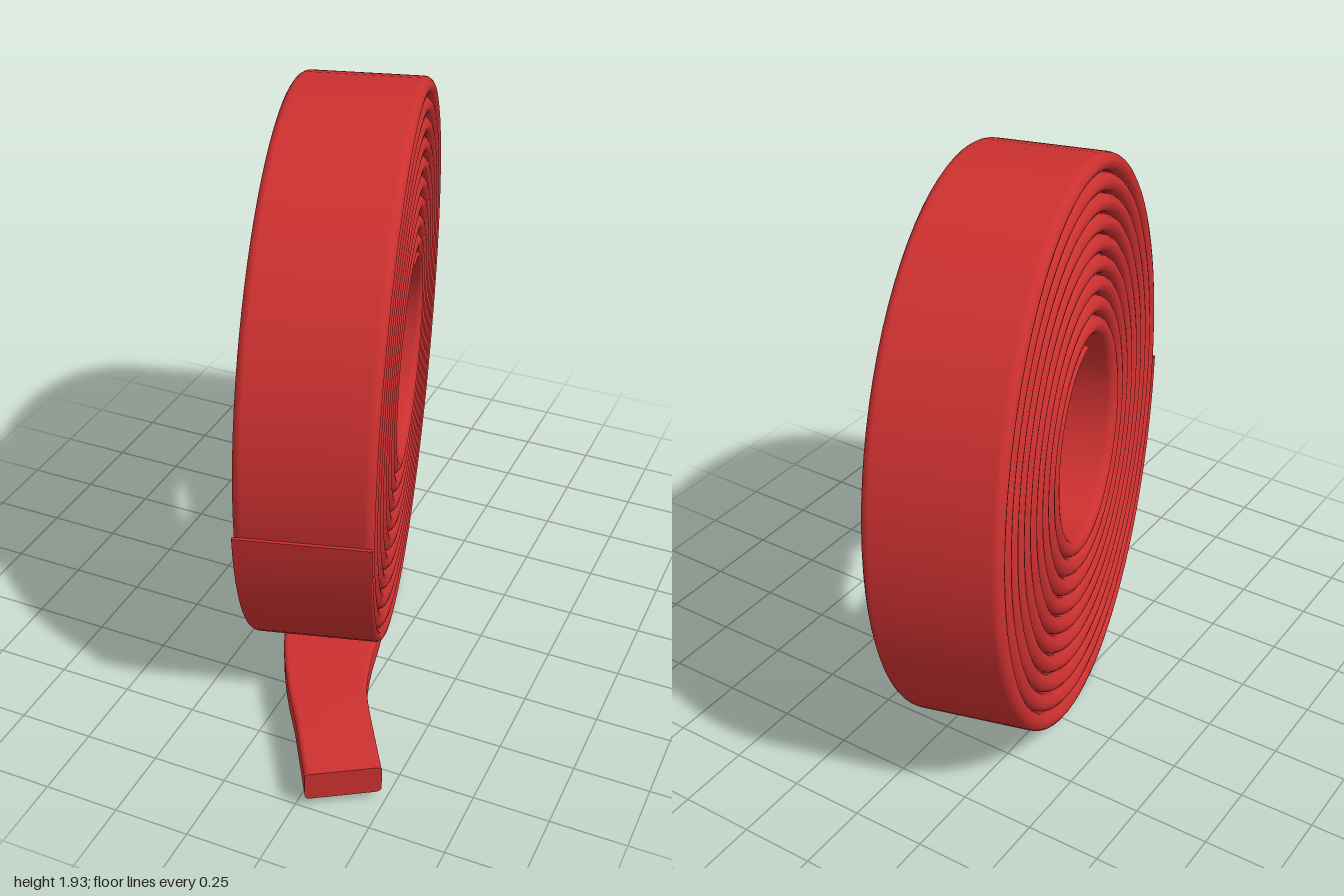
import * as THREE from 'three';
import { mergeVertices } from 'three/addons/utils/BufferGeometryUtils.js';

const V = (x, y, z) => new THREE.Vector3(x, y, z);
const { lerp, smoothstep } = THREE.MathUtils;

// Rounded strap section of width w, thickness t and corner radius r
function section(w, t, r) {
  const pts = [];
  const corners = [[1, 1], [-1, 1], [-1, -1], [1, -1]];
  corners.forEach(([sx, sy], q) => {
    for (let i = 0; i <= 4; i++) {
      const a = (q + i / 4) * Math.PI / 2;
      pts.push([sx * (w / 2 - r) + r * Math.cos(a), sy * (t / 2 - r) + r * Math.sin(a)]);
    }
  });
  return pts;
}

// Sweep the section along frames { p, side, w, t, r }, with flat end caps
function sweep(frames) {
  const pos = [], idx = [];
  let n = 0;
  const last = frames.length - 1;
  const ring = (i) => {
    const { p, side, w, t, r } = frames[i];
    const tan = frames[Math.min(i + 1, last)].p.clone().sub(frames[Math.max(i - 1, 0)].p).normalize();
    const up = tan.clone().cross(side).normalize();
    const pts = section(w, t, r);
    n = pts.length;
    const start = pos.length / 3;
    for (const [u, v] of pts) {
      const q = p.clone().addScaledVector(side, u).addScaledVector(up, v);
      pos.push(q.x, q.y, q.z);
    }
    return start;
  };
  for (let i = 0; i <= last; i++) {
    const b = ring(i);
    if (i === 0) continue;
    const a = b - n;
    for (let j = 0; j < n; j++) {
      const k = (j + 1) % n;
      idx.push(a + j, a + k, b + k, a + j, b + k, b + j);
    }
  }
  const s = ring(0), e = ring(last);
  for (let j = 1; j < n - 1; j++) {
    idx.push(s, s + j + 1, s + j);
    idx.push(e, e + j, e + j + 1);
  }
  const g = new THREE.BufferGeometry();
  g.setAttribute('position', new THREE.Float32BufferAttribute(pos, 3));
  g.setIndex(idx);
  g.computeVertexNormals();
  return mergeVertices(g, 1e-5);
}

// Spiral from the hole outwards; both ends thin out against their neighbour
function coilFrames() {
  const yaw = 0.267, width = 0.432, thick = 0.062;
  const along = V(Math.sin(yaw), 0, Math.cos(yaw));
  const across = V(Math.cos(yaw), 0, -Math.sin(yaw));
  const centre = V(-0.05, 0.98, -0.08);
  const turns = 9.5, extra = 0.22, segs = 80, r0 = 0.33, r1 = 0.95;
  const total = Math.round((turns + extra) * segs);
  const frames = [];
  for (let i = 0; i <= total; i++) {
    const turn = i / segs, f = turn / turns;
    const a = Math.PI + turn * Math.PI * 2;
    const inner = lerp(0.3, 1, smoothstep(turn, 0, 0.5));
    const outer = lerp(1, 0.15, smoothstep(turn, turns, turns + extra));
    const t = thick * inner * outer;
    const r = r0 + (r1 - r0) * f + thick / 2 * (outer - inner);
    const y = -r * Math.cos(a);
    const p = centre.clone()
      .addScaledVector(along, r * Math.sin(a) * 0.945 + 0.012 * f)
      .addScaledVector(across, 0.025 * y);
    p.y += y;
    frames.push({ p, side: across, w: width, t, r: t * 0.48 });
  }
  return frames;
}

// Loose end: comes out from under the coil, narrows and bends to the left
function tailFrames() {
  const path = new THREE.CatmullRomCurve3([
    V(0.045, 0.088, 0.24), V(0.11, 0.1, 0.44), V(0.18, 0.1, 0.6),
    V(0.27, 0.094, 0.75), V(0.386, 0.083, 0.936),
  ]);
  const frames = [], steps = 32;
  for (let i = 0; i <= steps; i++) {
    const f = i / steps;
    const tan = path.getTangentAt(f);
    frames.push({
      p: path.getPointAt(f),
      side: V(tan.z, 0, -tan.x).normalize(),
      w: lerp(0.33, 0.242, smoothstep(f, 0, 0.7)),
      t: lerp(0.095, 0.106, f),
      r: 0.016,
    });
  }
  return frames;
}

export function createModel() {
  const group = new THREE.Group();
  group.name = 'rolledStrap';
  const red = new THREE.MeshStandardMaterial({ color: 0xcc3030 });
  red.name = 'red strap';

  const add = (name, frames) => {
    const mesh = new THREE.Mesh(sweep(frames), red);
    mesh.name = name;
    group.add(mesh);
  };
  add('coil', coilFrames());
  add('looseEnd', tailFrames());
  return group;
}
